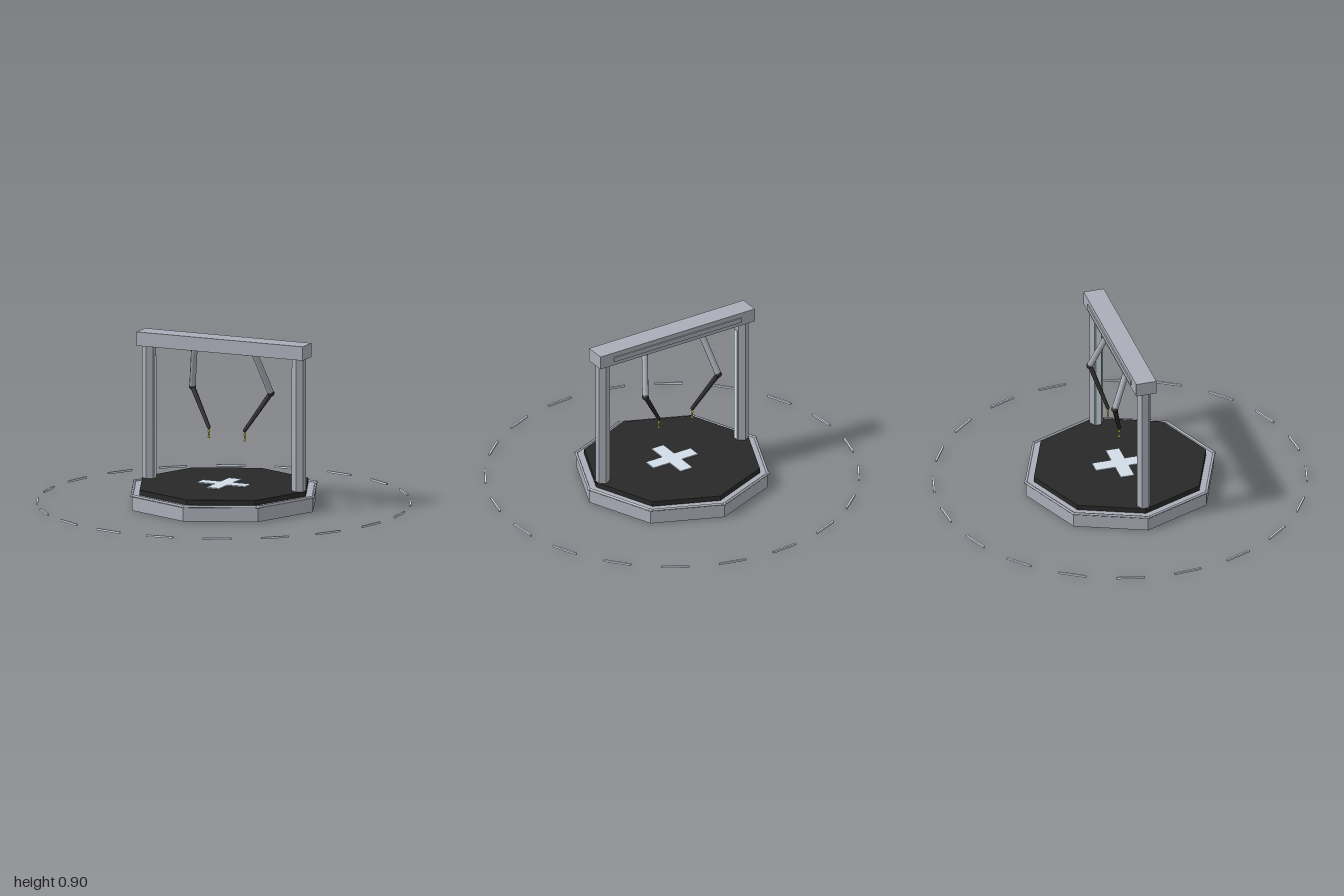
import * as THREE from 'three';

const paint = (name, color) => {
  const m = new THREE.MeshStandardMaterial({ color });
  m.name = name;
  return m;
};

export function createModel() {
  const root = new THREE.Group();
  root.name = 'gantryPlatform';
  const steel = paint('steel', 0xabaeb8);
  const black = paint('matteBlack', 0x282828);
  const pale = paint('paleMarking', 0xd3dee8);
  const glow = paint('lightStrip', 0xd3e4ea);
  const brass = paint('brass', 0xd2be3c);

  const add = (name, geo, mat, x = 0, y = 0, z = 0, parent = root) => {
    const mesh = new THREE.Mesh(geo, mat);
    mesh.name = name;
    mesh.position.set(x, y, z);
    parent.add(mesh);
    return mesh;
  };
  const box = (name, w, h, d, mat, x, y, z, parent) =>
    add(name, new THREE.BoxGeometry(w, h, d), mat, x, y, z, parent);
  const ball = (name, r, mat, p, parent) =>
    add(name, new THREE.SphereGeometry(r, 10, 8), mat, p.x, p.y, p.z, parent);
  // Faceted upright prism
  const prism = (name, r, y0, y1, sides, mat, x = 0) => {
    const geo = new THREE.CylinderGeometry(r, r, y1 - y0, sides).toNonIndexed();
    geo.computeVertexNormals();
    return add(name, geo, mat, x, (y0 + y1) / 2, 0);
  };
  // Round bar between two points
  const bar = (name, a, b, rA, rB, mat, sides = 8, parent = root) => {
    const dir = b.clone().sub(a);
    const mesh = add(name, new THREE.CylinderGeometry(rB, rA, dir.length(), sides), mat, 0, 0, 0, parent);
    mesh.position.copy(a).add(b).multiplyScalar(0.5);
    mesh.quaternion.setFromUnitVectors(new THREE.Vector3(0, 1, 0), dir.normalize());
    return mesh;
  };
  const onCircle = (r, angle, y) => new THREE.Vector3(r * Math.sin(angle), y, r * Math.cos(angle));

  // Octagonal base with a raised deck
  prism('base', 0.52, 0, 0.08, 8, steel);
  prism('deck', 0.477, 0.08, 0.108, 8, black);

  // Edge rail around the base
  for (let i = 0; i < 8; i++) {
    const a = onCircle(0.521, i * Math.PI / 4, 0.081);
    const b = onCircle(0.521, (i + 1) * Math.PI / 4, 0.081);
    bar('edgeRail', a, b, 0.007, 0.007, steel, 6);
    ball('railCorner', 0.009, steel, a);
  }

  // Cross marking on the deck
  box('crossAcross', 0.28, 0.005, 0.075, pale, 0, 0.1105, 0);
  for (const s of [-1, 1]) box('crossArm', 0.075, 0.005, 0.1065, pale, 0, 0.1105, s * 0.09075);

  // Overhead beam with a rail along its back
  box('beam', 0.97, 0.075, 0.112, steel, 0, 0.8625, 0);
  box('beamRail', 0.8, 0.026, 0.008, steel, 0, 0.86, -0.059);

  for (const s of [-1, 1]) {
    // Hexagonal post with a light strip on its inner face
    prism('post', 0.037, 0.1, 0.828, 6, steel, s * 0.437);
    box('lightStrip', 0.008, 0.66, 0.028, glow, s * 0.403, 0.44, 0);

    // Jointed arm hanging from the beam
    const arm = new THREE.Group();
    arm.name = s > 0 ? 'leftArm' : 'rightArm';
    root.add(arm);
    const shoulder = new THREE.Vector3(s * 0.175, 0.83, -0.005);
    const elbow = new THREE.Vector3(s * 0.229, 0.6, -0.098);
    const wrist = new THREE.Vector3(s * 0.105, 0.4, -0.036);
    const tip = new THREE.Vector3(s * 0.105, 0.347, -0.036);
    box('shoulderMount', 0.06, 0.008, 0.06, black, s * 0.172, 0.823, 0, arm);
    bar('upperArm', shoulder, elbow, 0.017, 0.017, steel, 8, arm);
    ball('elbow', 0.019, black, elbow, arm);
    bar('forearm', elbow, wrist, 0.014, 0.01, black, 8, arm);
    ball('wrist', 0.01, black, wrist, arm);
    bar('needle', wrist, tip, 0.004, 0.004, brass, 6, arm);
    ball('needleCollar', 0.007, brass, wrist.clone().lerp(tip, 0.4), arm);
    ball('needleTip', 0.007, brass, tip, arm);
  }

  // Broken ring of floor markers
  const step = Math.PI / 20;
  for (let i = 0; i < 20; i++) {
    const angle = (2 * i + 0.5) * step;
    const p = onCircle(0.99, angle, 0.01);
    box('ringMarker', 0.152, 0.01, 0.01, pale, p.x, p.y, p.z).rotation.y = angle;
  }
  return root;
}
